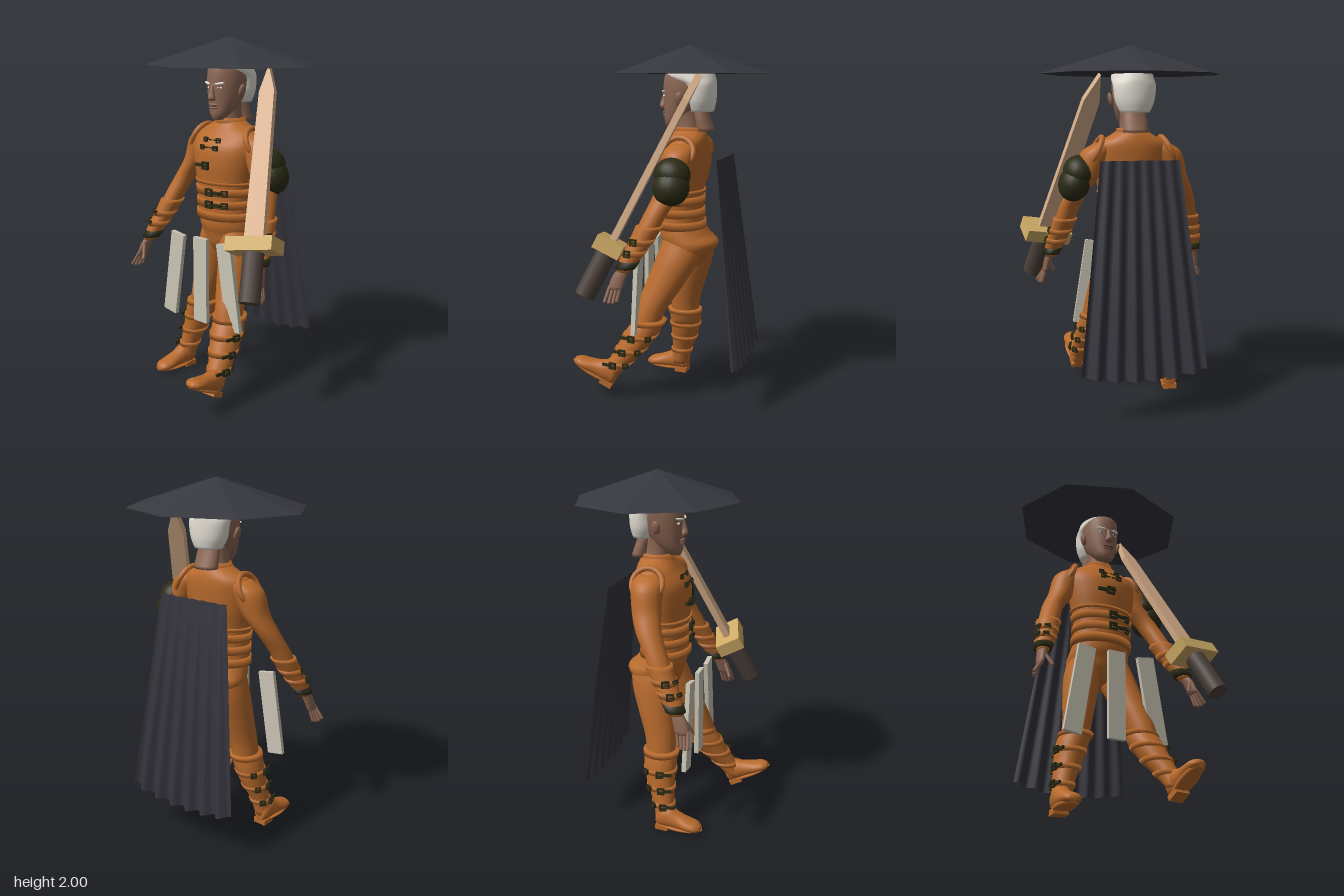
import * as THREE from 'three';

const mat = (name, color, extra = {}) => {
  const m = new THREE.MeshStandardMaterial({ color, ...extra });
  m.name = name;
  return m;
};
const CX = -0.045; // body centre line

export function createModel() {
  const leather = mat('orange leather', 0xb86a2c);
  const iron = mat('dark iron', 0x2b2b16);
  const skin = mat('skin', 0x8c6653);
  const hairMat = mat('white hair', 0xe6e1d6);
  const cloth = mat('dark cloth', 0x35343d, { side: THREE.DoubleSide });
  const straw = mat('dark hat', 0x37373f, { flatShading: true });
  const wood = mat('pale wood', 0xdab18c);
  const brass = mat('guard yellow', 0xcfac66);
  const grip = mat('grip brown', 0x4c403a);
  const linen = mat('linen', 0xcac5b5);

  const model = new THREE.Group();
  const add = (name, geo, material, parent = model) => {
    const m = new THREE.Mesh(geo, material);
    m.name = name;
    parent.add(m);
    return m;
  };
  const box = (name, material, size, pos, parent = model) => {
    const m = add(name, new THREE.BoxGeometry(...size), material, parent);
    m.position.set(...pos);
    return m;
  };
  const ball = (name, material, radii, pos, parent = model) => {
    const m = add(name, new THREE.SphereGeometry(1, 20, 14), material, parent);
    m.scale.set(...radii);
    m.position.set(...pos);
    return m;
  };

  // Elliptic rings [x, y, z, radius, radius] skinned along y or z
  const loft = (list, axis = 'y', smooth = 4, seg = 28) => {
    const k = axis === 'y' ? 1 : 2;
    let rings = [...list].sort((a, b) => a[k] - b[k]);
    if (smooth > 1) {
      const c = new THREE.CatmullRomCurve3(rings.map(r => new THREE.Vector3(r[0], r[1], r[2])), false, 'catmullrom');
      const w = new THREE.CatmullRomCurve3(rings.map(r => new THREE.Vector3(r[3], r[4], 0)), false, 'catmullrom');
      const n = (rings.length - 1) * smooth;
      rings = Array.from({ length: n + 1 }, (_, i) => [...c.getPoint(i / n).toArray(), ...w.getPoint(i / n).toArray()]);
    }
    const pos = [], idx = [], last = rings.length - 1;
    rings.forEach(([x, y, z, a, b], i) => {
      for (let j = 0; j < seg; j++) {
        const t = j / seg * Math.PI * 2, u = a * Math.cos(t), v = b * Math.sin(t);
        if (k === 1) pos.push(x + u, y, z + v); else pos.push(x + u, y - v, z);
        if (i === last) continue;
        const p = i * seg + j, q = i * seg + (j + 1) % seg;
        idx.push(p, p + seg, q, q, p + seg, q + seg);
      }
    });
    const base = pos.length / 3;
    pos.push(...rings[0].slice(0, 3), ...rings[last].slice(0, 3));
    for (let j = 0; j < seg; j++) {
      const n = (j + 1) % seg;
      idx.push(base, j, n, base + 1, last * seg + n, last * seg + j);
    }
    const g = new THREE.BufferGeometry();
    g.setAttribute('position', new THREE.Float32BufferAttribute(pos, 3));
    g.setIndex(idx);
    g.computeVertexNormals();
    return g;
  };
  // Interpolated ring at height y
  const at = (list, y) => {
    const r = [...list].sort((a, b) => a[1] - b[1]);
    let i = 0;
    while (i < r.length - 2 && r[i + 1][1] < y) i++;
    const t = (y - r[i][1]) / (r[i + 1][1] - r[i][1]);
    return r[i].map((v, k) => v + (r[i + 1][k] - v) * t);
  };
  const grow = (r, e) => [r[0], r[1], r[2], r[3] + e, r[4] + e];
  const band = (name, list, y, half, e, material = leather) =>
    add(name, loft([grow(at(list, y - half), e), grow(at(list, y + half), e)], 'y', 1), material);

  // Square buckle frame with strap and tongue, set on a limb or torso
  const frame = new THREE.Shape([[-.022, -.02], [.022, -.02], [.022, .02], [-.022, .02]].map(p => new THREE.Vector2(...p)));
  frame.holes.push(new THREE.Path([[-.012, -.011], [-.012, .011], [.012, .011], [.012, -.011]].map(p => new THREE.Vector2(...p))));
  const frameGeo = new THREE.ExtrudeGeometry(frame, { depth: 0.014, bevelEnabled: false });
  const buckle = (list, y, angle, size = 1, tail = 0) => {
    const [x, , z, rx, rz] = at(list, y);
    const g = new THREE.Group();
    g.name = 'buckle';
    g.position.set(x + (rx + 0.005) * Math.sin(angle), y, z + (rz + 0.005) * Math.cos(angle));
    g.rotation.y = Math.atan2(Math.sin(angle) / rx, Math.cos(angle) / rz);
    g.scale.setScalar(size);
    add('buckleFrame', frameGeo, iron, g);
    box('buckleTongue', iron, [0.035, 0.007, 0.01], [0.008, 0, 0.014], g);
    if (tail) box('strapEnd', iron, [0.05, 0.016, 0.012], [tail * 0.045, 0, 0.004], g);
    model.add(g);
  };

  // Torso
  const torso = [[CX, 0.985, -.045, .175, .135], [CX, 1.1, -.04, .17, .128], [CX, 1.2, -.04, .18, .13], [CX, 1.3, -.045, .2, .142],
    [CX, 1.4, -.055, .215, .14], [CX, 1.47, -.08, .2, .115], [CX, 1.515, -.09, .125, .095], [CX, 1.54, -.09, .085, .08]];
  add('tunic', loft(torso), leather);
  add('pelvis', loft([[CX, 0.77, -.08, .09, .08], [CX, 0.83, -.085, .16, .125], [CX, 0.9, -.1, .178, .16],
    [CX, 0.95, -.07, .175, .145], [CX, 1.02, -.045, .16, .12]]), leather);
  add('collar', loft([[CX, 1.505, -.09, .1, .092], [CX, 1.555, -.09, .083, .083]], 'y', 1), leather);
  for (const y of [1.01, 1.08, 1.15, 1.2]) band('waistBand', torso, y, y > 1.18 ? 0.008 : 0.022, 0.008);
  for (const y of [1.15, 1.08]) { buckle(torso, y, 0.05, 1.1, 1); buckle(torso, y, 0.6, 0.9); }
  buckle(torso, 1.3, -0.05, 1.1, -1);
  for (const y of [1.4, 1.44]) for (const s of [-1, 1]) {
    buckle(torso, y, s * 0.22, 0.7);
    box('claspBar', iron, [0.04, 0.007, 0.01], [CX + s * 0.025, y, at(torso, y)[2] + at(torso, y)[4]]);
  }

  // Arms, bracers and hands
  for (const s of [-1, 1]) {
    const arm = [[.15, 1.475, -.085, .06, .06], [.2, 1.42, -.08, .085, .085], [.245, 1.3, -.07, .073, .08], [.303, 1.2, -.04, .06, .07],
      [.342, 1.1, .01, .057, .062], [.372, 1, .055, .053, .06], [.405, .9, .11, .045, .05], [.432, .81, .155, .032, .04]]
      .map(([x, ...r]) => [CX + s * x, ...r]);
    add('sleeve', loft(arm), leather);
    add('bracer', loft([1.05, .98, .9, .83].map(y => grow(at(arm, y), y > 1 ? 0.014 : 0.009))), leather);
    for (const y of [.97, .91]) { band('bracerStrap', arm, y, 0.014, 0.014); buckle(arm, y, s * 1.2, 0.95); buckle(arm, y, s * 0.3, 0.8); }
    band('wristBand', arm, 0.845, 0.02, 0.013, iron);
    // raised shoulder seam
    const ring = add('shoulderRim', new THREE.TorusGeometry(0.085, 0.016, 8, 24), leather);
    ring.position.set(CX + s * 0.205, 1.43, -0.08);
    ring.rotation.set(0, Math.PI / 2, s * 0.45, 'ZYX');
    const hx = x => CX + s * x;
    add('hand', loft([[hx(.43), .83, .15, .025, .03], [hx(.445), .78, .175, .022, .04], [hx(.46), .715, .195, .016, .04]]), skin);
    for (let i = 0; i < 5; i++) {
      const thumb = i === 4, z = 0.165 + i * 0.02;
      const a = thumb ? new THREE.Vector3(hx(.435), .78, .2) : new THREE.Vector3(hx(.46), .725, z);
      const b = thumb ? new THREE.Vector3(hx(.405), .71, .235) : new THREE.Vector3(hx(.478 + i * 0.008), .645 + Math.abs(i - 1.5) * 0.008, z + 0.012);
      const f = add('finger', new THREE.CapsuleGeometry(0.0095, a.distanceTo(b), 4, 8), skin);
      f.position.copy(a).lerp(b, 0.5);
      f.quaternion.setFromUnitVectors(new THREE.Vector3(0, 1, 0), b.clone().sub(a).normalize());
    }
  }
  // Left shoulder plates
  for (const [y, x, h] of [[1.32, .25, .09], [1.255, .275, .1]])
    ball('shoulderPlate', iron, [0.088, h, 0.1], [x, y, -0.075]).rotation.set(-0.2, 0, 0.35);

  // Legs, boots and feet
  const legs = [
    { s: -1, thigh: [[-.12, .94, -.09, .09, .12], [-.14, .82, -.085, .1, .125], [-.165, .67, -.06, .092, .105], [-.19, .52, -.03, .078, .088], [-.215, .36, -.02, .07, .08]],
      boot: [[-.2, .455, -.022, .086, .096], [-.225, .38, -.02, .083, .094], [-.25, .28, -.01, .072, .082], [-.28, .17, .015, .056, .062], [-.3, .06, .035, .05, .055]],
      foot: [-.3, .008, -.012], pitch: 0, yaw: -0.08 },
    { s: 1, thigh: [[.03, .94, -.085, .09, .12], [.055, .82, -.05, .1, .125], [.085, .67, .02, .092, .11], [.12, .52, .095, .078, .09], [.145, .37, .14, .068, .08]],
      boot: [[.122, .47, .095, .086, .09], [.14, .39, .14, .088, .098], [.165, .3, .195, .077, .088], [.19, .21, .262, .058, .07], [.205, .13, .32, .048, .05]],
      foot: [.205, .07, .305], pitch: -0.47, yaw: 0.08 }];
  for (const { s, thigh, boot, foot, pitch, yaw } of legs) {
    add('trouserLeg', loft(thigh), leather);
    add('bootShaft', loft(boot), leather);
    band('bootCuff', boot, boot[0][1] - 0.015, 0.013, 0.008);
    for (const f of [.28, .52, .76]) {
      const y = boot[0][1] + (boot[4][1] - boot[0][1]) * f;
      band('bootStrap', boot, y, 0.012, 0.007);
      buckle(boot, y, s * 1.35, 0.95, -s);
      buckle(boot, y, s * 2.3, 0.8);
    }
    const g = new THREE.Group();
    g.name = 'foot';
    g.position.set(...foot);
    g.rotation.set(pitch, yaw, 0, 'YXZ');
    add('shoe', loft([[0, .06, -.005, .03, .04], [0, .07, .02, .046, .062], [0, .075, .07, .05, .066], [0, .058, .13, .048, .048],
      [0, .046, .19, .054, .036], [0, .04, .235, .047, .028], [0, .034, .262, .022, .014]], 'z'), leather, g);
    add('sole', loft([[0, .012, .13, .046, .115], [0, .026, .135, .055, .135]], 'y', 1), leather, g);
    box('heel', leather, [0.08, 0.03, 0.075], [0, 0.01, 0.035], g);
    model.add(g);
  }

  // Neck and head
  add('neck', loft([[CX, 1.5, -.095, .075, .07], [CX, 1.58, -.085, .066, .068], [CX, 1.66, -.08, .07, .07]]), skin);
  add('napeFlap', loft([[CX, 1.535, -.185, .07, .05], [CX, 1.6, -.165, .068, .045], [CX, 1.66, -.145, .06, .045]]), skin);
  add('head', loft([[CX, 1.55, .012, .026, .03], [CX, 1.58, -.005, .055, .058], [CX, 1.63, -.035, .08, .09], [CX, 1.7, -.062, .099, .12],
    [CX, 1.78, -.075, .107, .134], [CX, 1.85, -.08, .1, .125], [CX, 1.91, -.085, .06, .075]]), skin);
  add('hair', loft([[CX, 1.64, -.16, .08, .065], [CX, 1.7, -.155, .107, .083], [CX, 1.78, -.148, .117, .092], [CX, 1.825, -.098, .115, .137],
    [CX, 1.88, -.09, .1, .12], [CX, 1.92, -.09, .06, .07]]), hairMat);
  add('nose', loft([[CX, 1.657, .062, .02, .012], [CX, 1.672, .064, .023, .021], [CX, 1.7, .06, .014, .018], [CX, 1.75, .052, .01, .01]]), skin);
  ball('upperLip', skin, [0.032, 0.008, 0.014], [CX, 1.634, 0.052]);
  ball('lowerLip', skin, [0.028, 0.009, 0.014], [CX, 1.618, 0.05]);
  ball('mouthLine', grip, [0.03, 0.003, 0.013], [CX, 1.626, 0.054]);
  for (const s of [-1, 1]) {
    ball('ear', skin, [0.014, 0.038, 0.024], [CX + s * 0.113, 1.71, -0.06]).rotation.z = -s * 0.25;
    ball('eye', hairMat, [0.015, 0.007, 0.008], [CX + s * 0.042, 1.726, 0.046]).rotation.y = s * 0.4;
    ball('pupil', grip, [0.006, 0.006, 0.005], [CX + s * 0.042, 1.726, 0.051]);
    ball('eyebrow', hairMat, [0.03, 0.007, 0.009], [CX + s * 0.045, 1.75, 0.05]).rotation.set(0, s * 0.42, s * 0.15);
  }

  // Wide eight-sided hat
  const hat = add('hat', new THREE.ConeGeometry(1, 0.155, 8), straw);
  hat.scale.set(0.505, 1, 0.45);
  hat.position.set(CX, 1.9225, -0.087);

  // Pleated cape, widening and waving more towards the hem
  const cape = new THREE.PlaneGeometry(2, 1, 72, 12), p = cape.attributes.position;
  for (let i = 0; i < p.count; i++) {
    const u = p.getX(i), t = 0.5 - p.getY(i);
    const wave = Math.cos(u * Math.PI * 6.5) * (0.004 + 0.017 * t);
    p.setXYZ(i, CX + u * (0.215 + 0.13 * t), 1.39 - t * (1.165 - 0.045 * u * u), -0.297 - 0.135 * t + wave);
  }
  cape.computeVertexNormals();
  add('cape', cape, cloth);

  // Three hanging skirt panels
  for (const s of [-1, 0, 1])
    box('skirtPanel', linen, [0.1, 0.5, 0.025], [CX - 0.002 + s * 0.215, 0.645, 0.155]).rotation.z = s * 0.155;

  // Wooden sword, built upright then tilted
  const sword = new THREE.Group();
  sword.name = 'sword';
  const d = new THREE.Vector3(-0.325, 1.16, -0.54).normalize();
  const w = new THREE.Vector3(0.25, 0.07, -0.08).addScaledVector(d, -new THREE.Vector3(0.25, 0.07, -0.08).dot(d)).normalize();
  sword.quaternion.setFromRotationMatrix(new THREE.Matrix4().makeBasis(w, d, w.clone().cross(d)));
  sword.position.set(0.402, 0.95, 0.22);
  const outline = new THREE.Shape([[-.057, 0], [.057, 0], [.046, .86], [0, 1.015], [-.046, .86]].map(q => new THREE.Vector2(...q)));
  const blade = new THREE.ExtrudeGeometry(outline, { depth: 0.036, bevelEnabled: false });
  add('blade', blade.translate(0, 0, -0.018), wood, sword);
  box('guard', brass, [0.27, 0.075, 0.15], [0, 0, 0], sword);
  add('grip', new THREE.CylinderGeometry(0.056, 0.056, 0.27, 12), grip, sword).position.y = -0.165;
  model.add(sword);

  return model;
}
